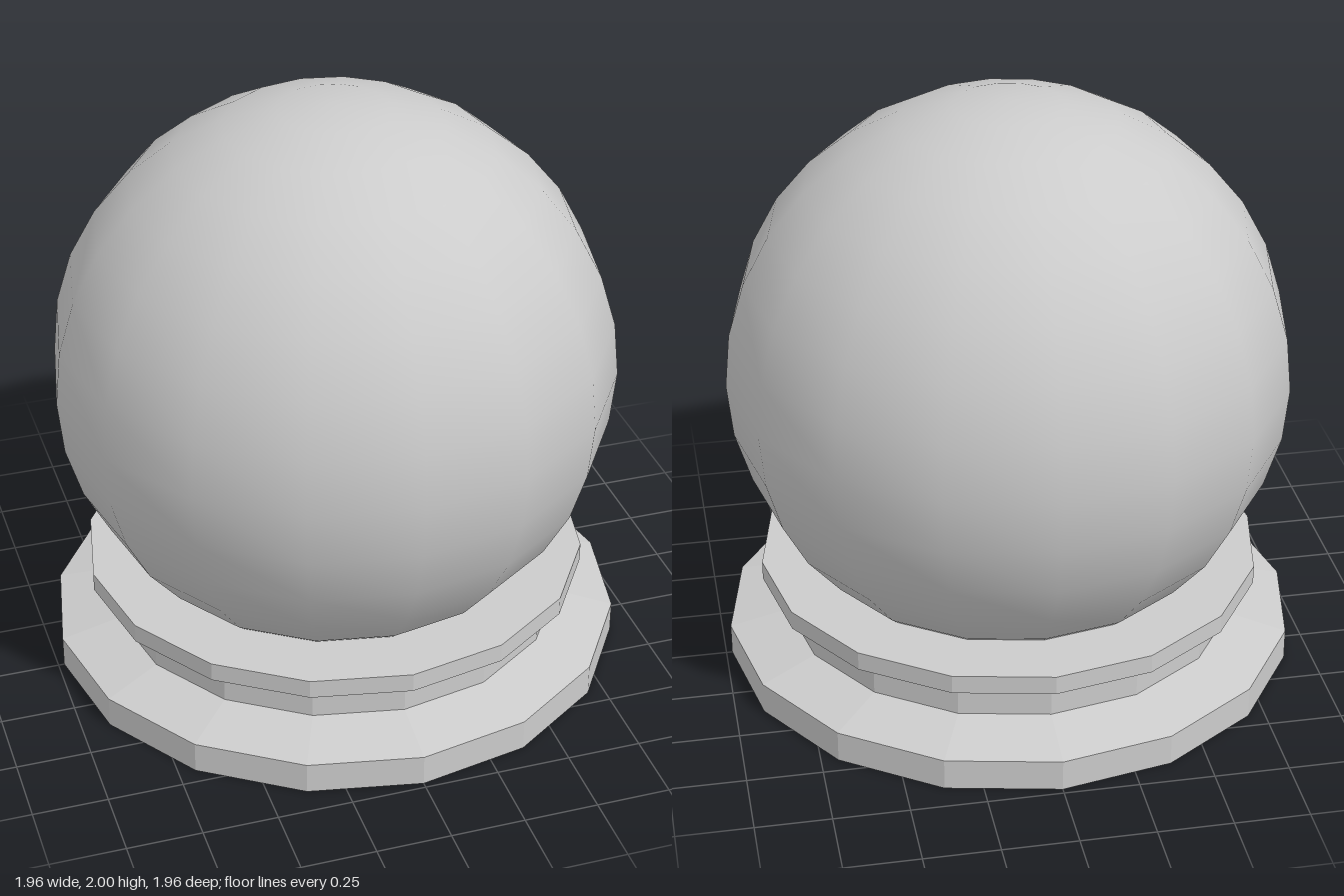
import * as THREE from 'three';

const SIDES = 16;

export function createModel() {
  const model = new THREE.Group();
  model.name = 'globeOnStand';

  // Faceted stand: plinth, sloped step, neck and rim
  const profile = [
    [0, 0], [0.98, 0], [0.98, 0.108], [0.78, 0.155],
    [0.78, 0.26], [0.86, 0.29], [0.86, 0.355], [0, 0.355],
  ].map(([r, y]) => new THREE.Vector2(r, y));
  const standGeometry = new THREE.LatheGeometry(profile, SIDES).toNonIndexed();
  standGeometry.computeVertexNormals();
  const stand = new THREE.Mesh(
    standGeometry,
    new THREE.MeshStandardMaterial({ color: 0xcccccc, flatShading: true })
  );
  stand.name = 'stand';
  model.add(stand);

  // Smooth globe sunk into the rim
  const globe = new THREE.Mesh(
    new THREE.SphereGeometry(0.95, SIDES, SIDES),
    new THREE.MeshStandardMaterial({ color: 0xcccccc })
  );
  globe.name = 'globe';
  globe.position.y = 1.05;
  model.add(globe);

  return model;
}
